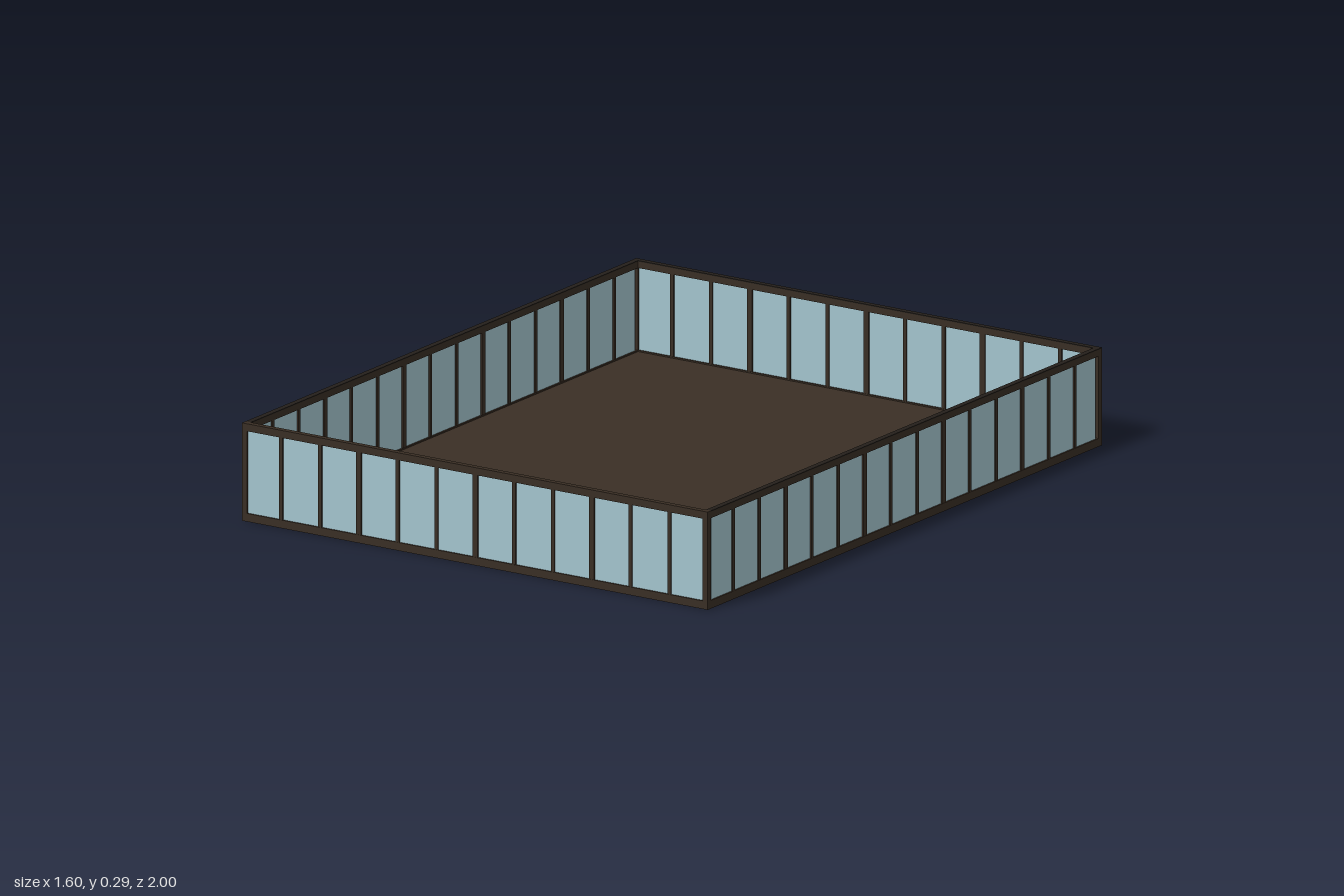
import * as THREE from 'three';

export function createModel() {
  const model = new THREE.Group();
  const frameMat = new THREE.MeshStandardMaterial({ color: 0x382d23 });
  frameMat.name = 'dark brown frame';
  const floorMat = new THREE.MeshStandardMaterial({ color: 0x3a2f25 });
  floorMat.name = 'brown floor';
  const capMat = new THREE.MeshStandardMaterial({ color: 0x241f1a });
  capMat.name = 'rim cap';
  const glassMat = new THREE.MeshStandardMaterial({ color: 0xa3c4cd });
  glassMat.name = 'pale blue glass';

  const W = 1.6, D = 2, H = 0.29, T = 0.018, RAIL = 0.022, PANE = 2 / 15;

  const box = (parent, name, mat, w, h, d, x, y, z) => {
    const mesh = new THREE.Mesh(new THREE.BoxGeometry(w, h, d), mat);
    mesh.name = name;
    mesh.position.set(x, y, z);
    parent.add(mesh);
  };

  // Floor slab
  box(model, 'floor', floorMat, W - 0.01, 0.02, D - 0.01, 0, 0.01, 0);

  // One glazed wall along local x, its outer face on local z = 0
  function wall(name, length, panes, majorOffset, capMaterial) {
    const g = new THREE.Group();
    g.name = name;
    const z = -T / 2;
    box(g, 'bottomRail', frameMat, length, RAIL + 0.002, T, 0, (RAIL + 0.002) / 2, z);
    box(g, 'topRail', frameMat, length, RAIL - 0.003, T, 0, H - RAIL / 2 - 0.0015, z);
    box(g, 'rimCap', capMaterial, length, 0.003, T, 0, H - 0.0015, z);
    box(g, 'glass', glassMat, length - T, H - 2 * RAIL, 0.008, 0, H / 2, z);
    // Mullions, with every third one wider
    for (let i = 1; i < panes; i++) {
      const w = i % 3 === majorOffset ? 0.018 : 0.012;
      box(g, 'mullion', frameMat, w, H - 2 * RAIL, T - 0.002, -length / 2 + i * PANE, H / 2, z);
    }
    model.add(g);
    return g;
  }

  wall('frontWall', W, 12, 0, frameMat).position.z = D / 2;
  const back = wall('backWall', W, 12, 0, capMat);
  back.position.z = -D / 2;
  back.rotation.y = Math.PI;
  for (const s of [-1, 1]) {
    const side = wall(s > 0 ? 'leftWall' : 'rightWall', D - 2 * T, 0, 0, capMat);
    side.position.x = s * W / 2;
    side.rotation.y = s * Math.PI / 2;
    // Side mullions are spaced from the outer corners
    for (let i = 1; i < 15; i++) {
      box(side, 'mullion', frameMat, i % 3 ? 0.012 : 0.018, H - 2 * RAIL, T - 0.002,
        -D / 2 + i * PANE, H / 2, -T / 2);
    }
    // Corner posts
    for (const e of [-1, 1]) {
      box(model, 'cornerPost', frameMat, T, H - 2 * RAIL, T,
        s * (W - T) / 2, H / 2, e * (D - T) / 2);
    }
  }
  return model;
}
